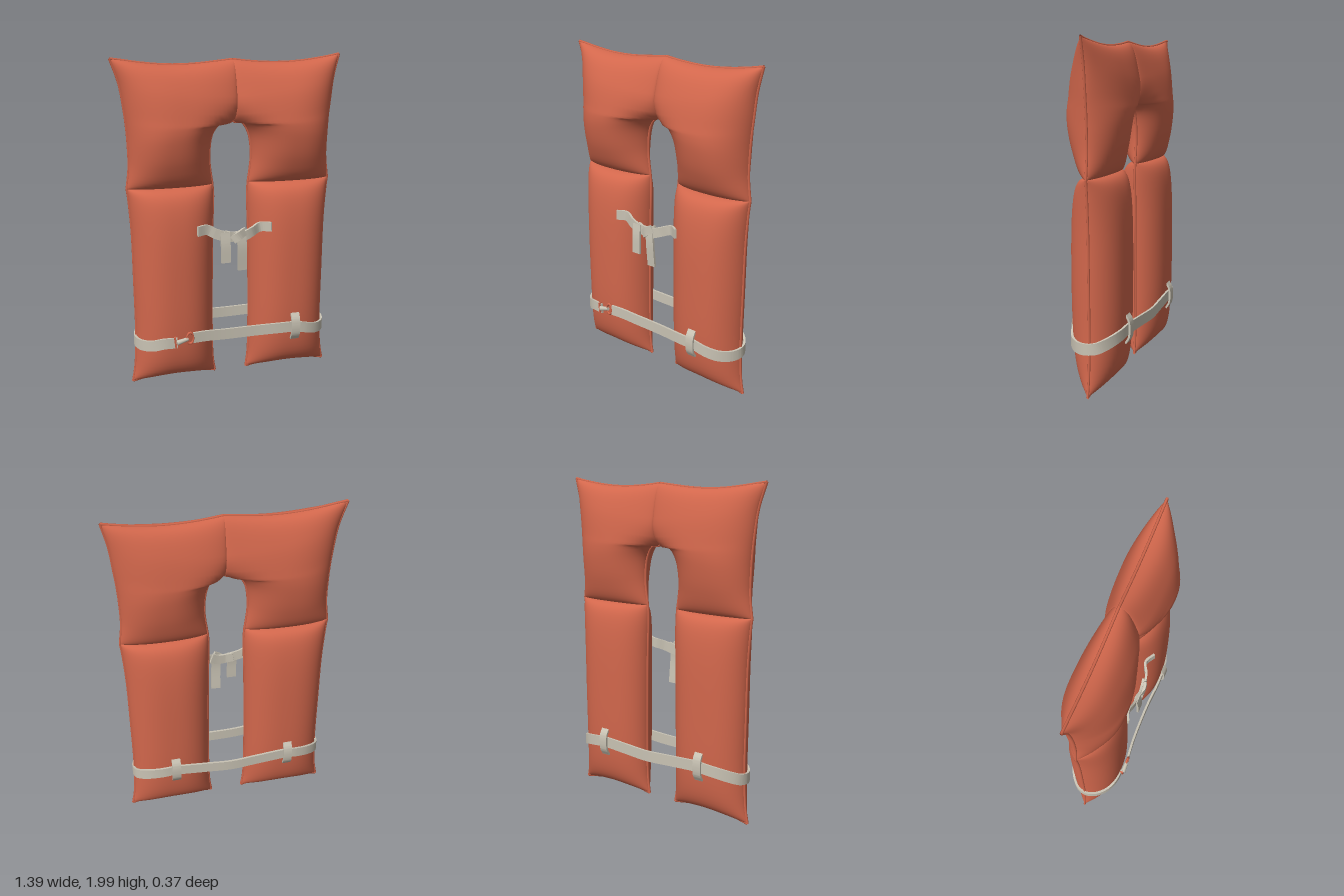
import * as THREE from 'three';
import { toCreasedNormals } from 'three/addons/utils/BufferGeometryUtils.js';

const fabric = new THREE.MeshStandardMaterial({ color: 0xd2674c, side: THREE.DoubleSide });
fabric.name = 'orangeFabric';
const webbing = new THREE.MeshStandardMaterial({ color: 0xc9c3b4 });
webbing.name = 'greyWebbing';

const SEAM_Z = -0.02;
const V3 = (x, y, z) => new THREE.Vector3(x, y, z);
const spline = (pts) => new THREE.SplineCurve(pts.map(([x, y]) => new THREE.Vector2(x, y)));
const dome = (t, n, e) => Math.pow(Math.max(0, 1 - Math.pow(Math.abs(2 * t - 1), n)), e);
// The vest hangs slightly off centre, most of all at its middle seam
const shiftX = (x, side) => side * x + 0.01 * THREE.MathUtils.clamp((0.69 - x) / 0.06, 0, 1) + 0.014 * Math.max(0, 1 - x / 0.11);

// Cushions: u runs from inner to outer edge, v runs upward
const upper = {
  name: 'Chest',
  inner: spline([[0.112, 1.24], [0.13, 1.39], [0.117, 1.525], [0.07, 1.6], [0, 1.62], [0, 1.78], [0, 1.972]]),
  outer: spline([[0.628, 1.24], [0.612, 1.37], [0.613, 1.5], [0.618, 1.59], [0.628, 1.69], [0.65, 1.85], [0.69, 1.99]]),
  front: 0.202, back: 0.14, n: 2.4, e: 0.62,
  fold: (v) => 1 - v,
  sag: (v) => -0.032 * Math.pow(v, 5),
  // the centre seam stays padded above the neck arch
  padding: (u, v) => (u < 0.5 ? 0.65 * Math.sqrt(THREE.MathUtils.clamp((v - 0.667) / 0.12, 0, 1)) : 0),
};
const lower = {
  name: 'Waist',
  inner: spline([[0.103, 0.018], [0.118, 0.13], [0.122, 0.35], [0.12, 0.65], [0.115, 0.95], [0.108, 1.15], [0.112, 1.24]]),
  outer: spline([[0.63, 0.012], [0.61, 0.13], [0.6, 0.35], [0.602, 0.65], [0.606, 0.95], [0.618, 1.15], [0.628, 1.24]]),
  front: 0.178, back: 0.137, n: 2.6, e: 0.6,
  fold: (v) => v,
  sag: (v) => 0.035 * Math.pow(1 - v, 5),
  padding: () => 0,
};

function cushionPoint(c, u, v, side, face) {
  const a = c.inner.getPoint(v), b = c.outer.getPoint(v);
  const x = Math.max(0, a.x) * (1 - u) + b.x * u;
  const y = a.y * (1 - u) + b.y * u + c.sag(v) * Math.sin(Math.PI * u);
  const across = dome(u, c.n, c.e);
  let along = dome(v, c.n, c.e);
  along += 0.24 * (1 - along) * c.fold(v);
  const depth = (across + c.padding(u, v) * (1 - across)) * along * (face > 0 ? c.front : c.back);
  return V3(shiftX(x, side), y, SEAM_Z + face * depth);
}

function cushionFace(c, side, face) {
  const NU = 28, NV = 40, pos = [], idx = [];
  const ease = (t) => (1 - Math.cos(Math.PI * t)) / 2;
  for (let j = 0; j <= NV; j++)
    for (let i = 0; i <= NU; i++) pos.push(...cushionPoint(c, ease(i / NU), ease(j / NV), side, face).toArray());
  for (let j = 0; j < NV; j++)
    for (let i = 0; i < NU; i++) {
      const a = j * (NU + 1) + i, b = a + 1, d = a + NU + 1, e = d + 1;
      if (side * face > 0) idx.push(a, b, e, a, e, d);
      else idx.push(a, e, b, a, d, e);
    }
  const g = new THREE.BufferGeometry();
  g.setAttribute('position', new THREE.Float32BufferAttribute(pos, 3));
  g.setIndex(idx);
  g.computeVertexNormals();
  return g;
}

// Flat band swept along a path; ref is the direction of its width
function band(points, width, ref = V3(0, 1, 0), thick = 0.014, segments = 12) {
  const curve = new THREE.CatmullRomCurve3(points, false, 'centripetal');
  const n = segments * (points.length - 1), pos = [], idx = [];
  for (let i = 0; i <= n; i++) {
    const p = curve.getPoint(i / n), t = curve.getTangent(i / n);
    const out = t.clone().cross(ref).normalize();
    const w = out.clone().cross(t).normalize();
    for (const [a, b] of [[-1, -1], [1, -1], [1, 1], [-1, 1]])
      pos.push(...p.clone().addScaledVector(w, a * width / 2).addScaledVector(out, b * thick / 2).toArray());
  }
  for (let i = 0; i < n; i++)
    for (let k = 0; k < 4; k++) {
      const a = i * 4 + k, b = i * 4 + (k + 1) % 4;
      idx.push(a, b, b + 4, a, b + 4, a + 4);
    }
  const q = n * 4;
  idx.push(0, 2, 1, 0, 3, 2, q, q + 1, q + 2, q, q + 2, q + 3);
  const g = new THREE.BufferGeometry();
  g.setAttribute('position', new THREE.Float32BufferAttribute(pos, 3));
  g.setIndex(idx);
  return toCreasedNormals(g, 0.7);
}

export function createModel() {
  const model = new THREE.Group();
  const add = (name, geometry, material) => {
    const m = new THREE.Mesh(geometry, material);
    m.name = name;
    model.add(m);
    return m;
  };

  // Padded cushions with a raised seam round their edges
  for (const side of [-1, 1]) {
    const label = side > 0 ? 'left' : 'right';
    for (const c of [upper, lower]) {
      add(`${label}${c.name}CushionFront`, cushionFace(c, side, 1), fabric);
      add(`${label}${c.name}CushionBack`, cushionFace(c, side, -1), fabric);
      const innerEnd = c === upper ? 0.66 : 1, endV = c === upper ? 1 : 0;
      const edge = (f) => Array.from({ length: 25 }, (_, i) => cushionPoint(c, ...f(i / 24), side, 1));
      for (const path of [edge((t) => [1, t]), edge((t) => [0, t * innerEnd]), edge((t) => [t, endV])])
        add(`${label}${c.name}Seam`, new THREE.TubeGeometry(new THREE.CatmullRomCurve3(path), 48, 0.008, 6), fabric);
    }
  }

  // Point lying just above a waist cushion at height y
  const on = (side, u, y, face, lift = 0.007) => {
    let v = 0.5;
    for (let lo = 0, hi = 1, k = 0; k < 24; k++) {
      v = (lo + hi) / 2;
      if (cushionPoint(lower, u, v, side, face).y < y) lo = v; else hi = v;
    }
    const p = cushionPoint(lower, u, v, side, face);
    p.z += face * lift;
    p.x += side * lift * Math.max(0, 2 * u - 1);
    return p;
  };

  // Waist strap: from the buckle round the back and across the front
  const wrap = (side, innerY) => [
    on(side, 0.54, innerY, 1), on(side, 0.7, 0.31, 1), on(side, 0.83, 0.292, 1), on(side, 0.93, 0.284, 1),
    on(side, 0.98, 0.284, 1), on(side, 1, 0.288, 1), on(side, 0.98, 0.295, -1), on(side, 0.92, 0.31, -1),
    on(side, 0.8, 0.33, -1), on(side, 0.65, 0.343, -1), on(side, 0.5, 0.35, -1),
  ];
  add('waistStrap', band([
    ...wrap(-1, 0.312), V3(-0.15, 0.345, -0.17), V3(0.015, 0.34, -0.178), V3(0.18, 0.345, -0.17),
    ...wrap(1, 0.33).reverse(),
    V3(0.28, 0.334, 0.16), V3(0.12, 0.332, 0.15), V3(-0.08, 0.332, 0.15), V3(-0.19, 0.337, 0.156), V3(-0.275, 0.338, 0.165),
  ], 0.066), webbing);

  // Belt loops
  const loop = (name, x, y, z, face) => add(name, band([
    V3(x, y - 0.085, z - face * 0.022), V3(x, y - 0.045, z), V3(x, y + 0.045, z), V3(x, y + 0.085, z - face * 0.022),
  ], 0.055, V3(1, 0, 0), 0.012), webbing);
  loop('frontBeltLoop', 0.38, 0.335, 0.172, 1);
  loop('leftBackBeltLoop', 0.365, 0.35, -0.171, -1);
  loop('rightBackBeltLoop', -0.36, 0.35, -0.171, -1);

  // Buckle: ring, hook and stitched strap end
  const ring = add('buckleRing', new THREE.TorusGeometry(0.03, 0.007, 8, 20), fabric);
  ring.position.set(-0.295, 0.338, 0.168);
  ring.scale.set(0.7, 1.15, 1);
  const hook = add('buckleHook', new THREE.CylinderGeometry(0.011, 0.016, 0.07, 10), webbing);
  hook.position.set(-0.34, 0.326, 0.168);
  hook.rotation.z = -1.3;
  const end = add('buckleEnd', new THREE.BoxGeometry(0.01, 0.068, 0.02), fabric);
  end.position.set(-0.385, 0.318, 0.163);
  end.rotation.z = 0.1;

  // Chest tie: two bands crossing in a knot with hanging ends
  add('rightTie', band([
    on(-1, 0.265, 0.995, 1), on(-1, 0.14, 0.995, 1, 0.018), V3(-0.12, 0.968, 0.128), V3(-0.06, 0.95, 0.135), V3(0.02, 0.945, 0.13), V3(0.07, 0.965, 0.122),
  ], 0.06), webbing);
  add('leftTie', band([
    on(1, 0.21, 0.985, 1), on(1, 0.08, 0.982, 1, 0.025), V3(0.1, 0.962, 0.128), V3(0.05, 0.945, 0.138), V3(-0.02, 0.945, 0.134), V3(-0.07, 0.955, 0.124),
  ], 0.058), webbing);
  add('tieKnot', band([V3(-0.02, 0.925, 0.14), V3(0.015, 0.95, 0.15), V3(0.055, 0.975, 0.142)], 0.05), webbing);
  add('rightTieEnd', band([V3(-0.068, 0.975, 0.138), V3(-0.066, 0.9, 0.148), V3(-0.064, 0.79, 0.15)], 0.058, V3(1, 0, 0)), webbing);
  add('leftTieEnd', band([V3(0.032, 0.965, 0.138), V3(0.038, 0.88, 0.142), V3(0.042, 0.73, 0.132)], 0.056, V3(1, 0, 0)), webbing);

  return model;
}
